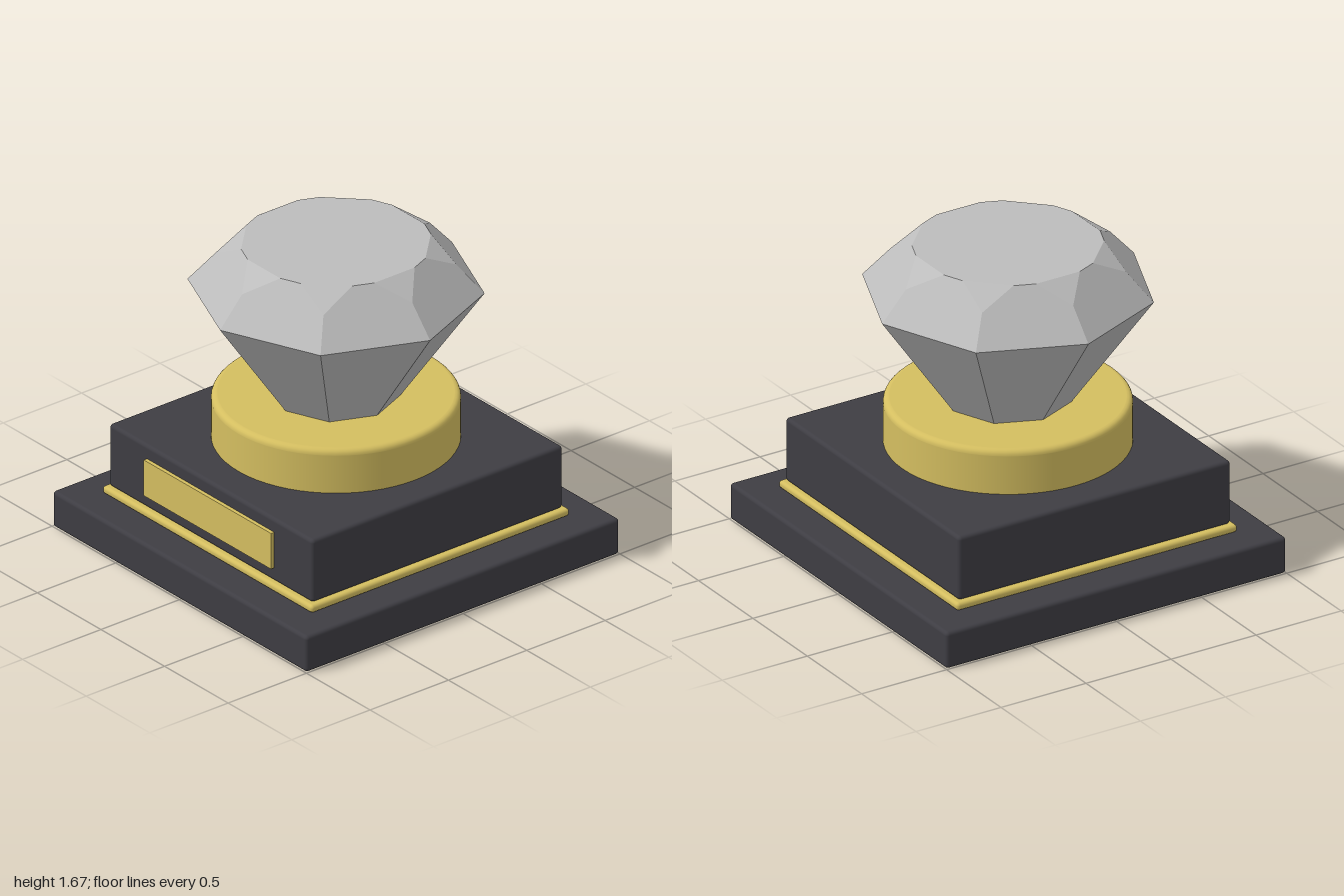
import * as THREE from 'three';
import { RoundedBoxGeometry } from 'three/addons/geometries/RoundedBoxGeometry.js';
import { ConvexGeometry } from 'three/addons/geometries/ConvexGeometry.js';

function makeMaterial(name, color) {
  const m = new THREE.MeshStandardMaterial({ color });
  m.name = name;
  return m;
}

export function createModel() {
  const group = new THREE.Group();
  group.name = 'gemTrophy';
  const dark = makeMaterial('charcoal', 0x3e3d43);
  const gold = makeMaterial('gold', 0xd4be60);
  const crystal = makeMaterial('crystal', 0xbcbcbc);

  function add(name, geometry, material) {
    const mesh = new THREE.Mesh(geometry, material);
    mesh.name = name;
    group.add(mesh);
    return mesh;
  }

  // Square slab standing between two heights
  function slab(name, width, y0, y1, radius, material) {
    const geo = new RoundedBoxGeometry(width, y1 - y0, width, 3, radius);
    add(name, geo, material).position.y = (y0 + y1) / 2;
  }

  // Stepped plinth with a thin gold trim
  slab('lowerPlinth', 2, 0, 0.2, 0.02, dark);
  slab('goldTrim', 1.65, 0.2, 0.242, 0.018, gold);
  slab('upperPlinth', 1.6, 0.242, 0.592, 0.02, dark);

  // Blank plate on the front
  add('frontPlate', new THREE.BoxGeometry(1, 0.2, 0.03), gold).position.set(0, 0.418, 0.806);

  // Round collar with a rolled upper edge
  const r = 0.62, top = 0.833, bevel = 0.03;
  const profile = [new THREE.Vector2(r, 0.59), new THREE.Vector2(r, top - bevel - 0.002)];
  for (let i = 0; i <= 5; i++) {
    const a = (i / 5) * Math.PI / 2;
    profile.push(new THREE.Vector2(r - bevel + bevel * Math.cos(a), top - bevel + bevel * Math.sin(a)));
  }
  profile.push(new THREE.Vector2(r - bevel - 0.002, top), new THREE.Vector2(0, top));
  add('collar', new THREE.LatheGeometry(profile, 64), gold);

  // Cut gem: eight-sided girdle, bevelled crown corners, flat table, pointed pavilion
  const girdleY = 1.425, girdleR = 0.74, tableY = 1.675, slope = 1.19;
  const cornerR = 0.6, cornerY = girdleY + slope * (girdleR - cornerR) * Math.cos(Math.PI / 8);
  const apothem = girdleR * Math.cos(Math.PI / 8) - (tableY - girdleY) / slope;
  const halfAngle = THREE.MathUtils.degToRad(6.85);
  const tableR = apothem / Math.cos(halfAngle);
  const points = [new THREE.Vector3(0, 0.375, 0)];
  const ringPoint = (radius, y, a) =>
    points.push(new THREE.Vector3(radius * Math.cos(a), y, radius * Math.sin(a)));
  for (let i = 0; i < 8; i++) {
    const a = i * Math.PI / 4, mid = a + Math.PI / 8;
    ringPoint(girdleR, girdleY, a);
    ringPoint(cornerR, cornerY, a);
    ringPoint(tableR, tableY, mid - halfAngle);
    ringPoint(tableR, tableY, mid + halfAngle);
  }
  add('gem', new ConvexGeometry(points), crystal);

  return group;
}
